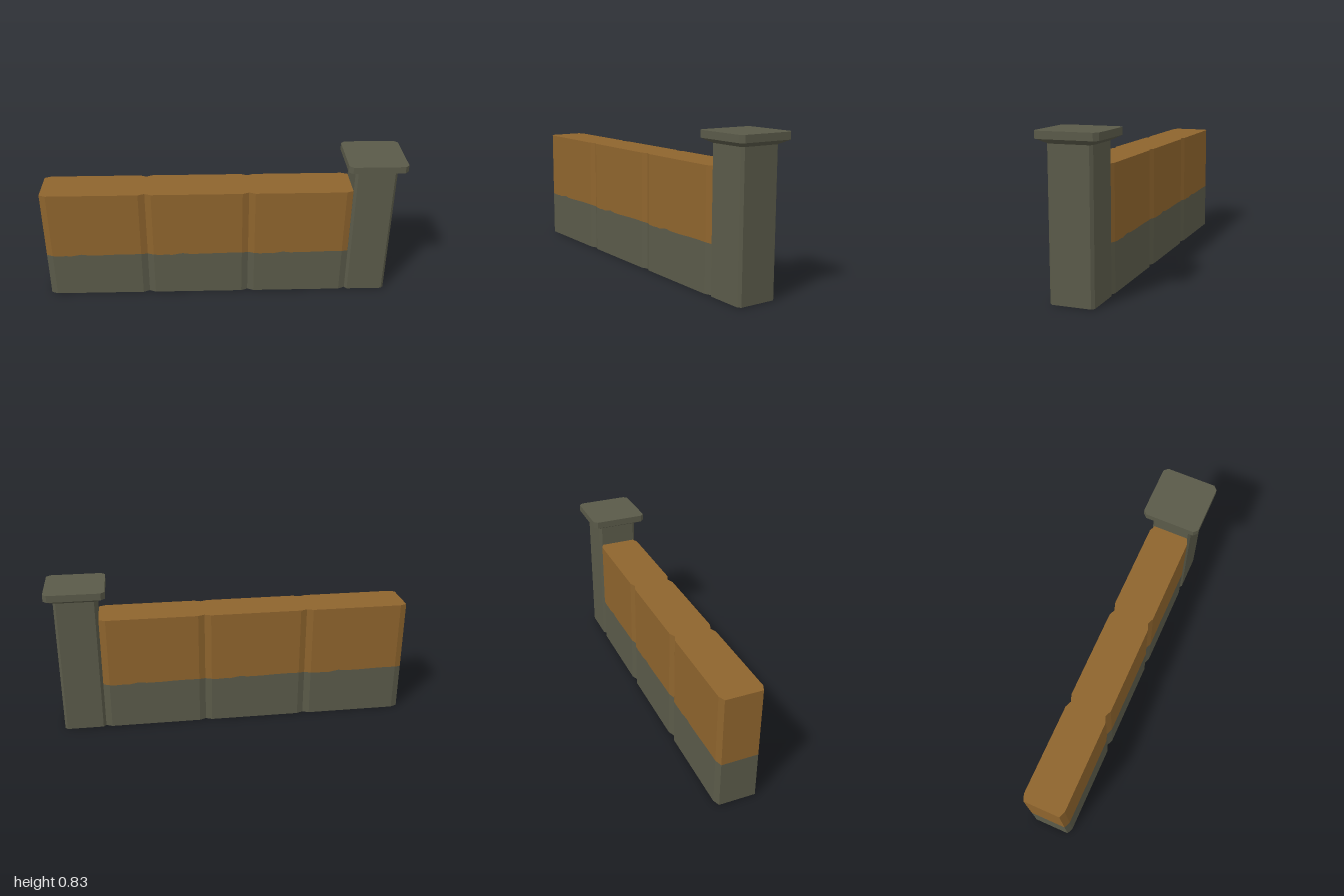
import * as THREE from 'three';
import { mergeGeometries } from 'three/addons/utils/BufferGeometryUtils.js';

// Faces between two outlines of [x, y, z] points, counter-clockwise around y
function band(low, high) {
  const out = [];
  low.forEach((a, i) => {
    const j = (i + 1) % low.length;
    out.push(...a, ...low[j], ...high[j], ...a, ...high[j], ...high[i]);
  });
  const g = new THREE.BufferGeometry();
  g.setAttribute('position', new THREE.Float32BufferAttribute(out, 3));
  g.computeVertexNormals();
  return g;
}

// Flat lid over an outline, facing up (1) or down (-1)
function lid(ring, dir) {
  const shape = new THREE.Shape(ring.map(([x, , z]) => new THREE.Vector2(x, -dir * z)));
  let g = new THREE.ShapeGeometry(shape).rotateX(-dir * Math.PI / 2).translate(0, ring[0][1], 0);
  g = g.toNonIndexed();
  g.deleteAttribute('uv');
  return g;
}

// Square outline with cut corners
function square(cx, y, h, c) {
  const k = h - c;
  return [[-k, h], [k, h], [h, k], [h, -k], [k, -h], [-k, -h], [-h, -k], [-h, k]]
    .map(([x, z]) => [cx + x, y, z]);
}

export function createModel() {
  const group = new THREE.Group();
  const stone = new THREE.MeshStandardMaterial({ color: 0x5a5a49 });
  const ochre = new THREE.MeshStandardMaterial({ color: 0x8e642d });
  const add = (name, geos, mat) => {
    const m = new THREE.Mesh(mergeGeometries(geos), mat);
    m.name = name;
    group.add(m);
  };

  // Wall: three panels with bevelled joints and an uneven paint line
  const panels = 3, start = -1, width = 1.722 / panels;
  const paint = [[0, 0.264], [0.035, 0.263], [0.07, 0.26], [0.11, 0.262], [0.14, 0.259],
    [0.17, 0.265], [0.2, 0.27], [0.24, 0.264], [0.32, 0.264], [0.4, 0.267],
    [0.47, 0.268], [0.538, 0.267], [width, 0.262]];
  const side = [];
  for (let p = 0; p < panels; p++) {
    paint.forEach(([u, y], i) => {
      if (i === 0 && p > 0) return;
      const edge = i === 0 || i === paint.length - 1;
      side.push([start + p * width + u, y, edge ? 0.1 : 0.115]);
    });
  }
  const mid = 2 * start + panels * width;
  const line = [...side, ...side.map(([x, y, z]) => [mid - x, y, -z])];
  const atHeight = h => line.map(([x, , z]) => [x, h, z]);
  const floor = atHeight(0), top = atHeight(0.653);
  add('wallBase', [band(floor, line), lid(floor, -1)], stone);
  add('wallUpper', [band(line, top), lid(top, 1)], ochre);

  // End post with a flared cap
  const px = 0.838;
  const foot = square(px, 0, 0.115, 0.014), neck = square(px, 0.767, 0.115, 0.014);
  const flare = square(px, 0.791, 0.161, 0.021), crown = square(px, 0.829, 0.161, 0.021);
  add('postShaft', [band(foot, neck), lid(foot, -1)], stone);
  add('postCap', [band(neck, flare), band(flare, crown), lid(crown, 1)], stone);
  return group;
}
